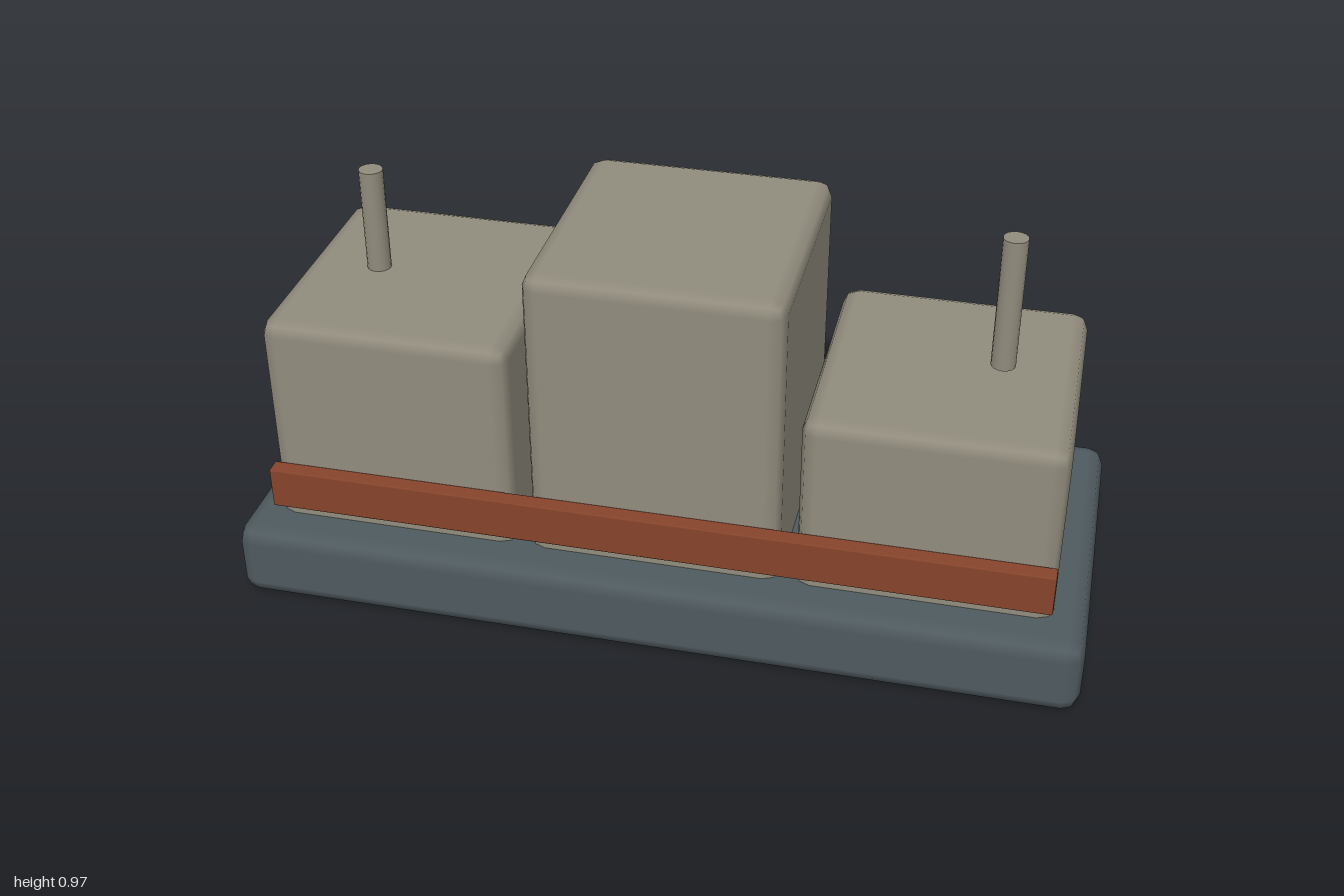
import * as THREE from 'three';
import { RoundedBoxGeometry } from 'three/addons/geometries/RoundedBoxGeometry.js';

export function createModel() {
  const model = new THREE.Group();
  model.name = 'blocksOnPlinth';

  const material = (name, color) => {
    const m = new THREE.MeshStandardMaterial({ color });
    m.name = name;
    return m;
  };
  const slate = material('slate', 0x4f5a5f);
  const stone = material('stone', 0x908b7c);
  const rust = material('rust', 0x86442a);

  const add = (name, geometry, mat, x, y, z) => {
    const mesh = new THREE.Mesh(geometry, mat);
    mesh.name = name;
    mesh.position.set(x, y, z);
    model.add(mesh);
  };

  // Bevelled box given by its bottom and top heights
  const addBox = (name, mat, x, z, width, depth, bottom, top, bevel) =>
    add(name, new RoundedBoxGeometry(width, top - bottom, depth, 1, bevel),
      mat, x, (bottom + top) / 2, z);

  addBox('base', slate, 0, 0, 2, 0.836, 0, 0.187, 0.039);

  // Three blocks, sunk slightly into the base
  addBox('rightBlock', stone, -0.627, 0, 0.586, 0.636, 0.14, 0.71, 0.036);
  addBox('middleBlock', stone, 0, 0, 0.59, 0.636, 0.14, 0.908, 0.036);
  addBox('leftBlock', stone, 0.627, 0, 0.586, 0.636, 0.14, 0.627, 0.036);

  // Rail along the front of the blocks
  addBox('frontRail', rust, 0, 0.338, 1.836, 0.04, 0.23, 0.333, 0.004);

  // Thin upright posts, both at the same height
  for (const side of [-1, 1]) {
    add(side < 0 ? 'rightPost' : 'leftPost',
      new THREE.CylinderGeometry(0.0285, 0.0285, 0.325, 16), stone,
      side * 0.742, 0.803, 0);
  }

  return model;
}
